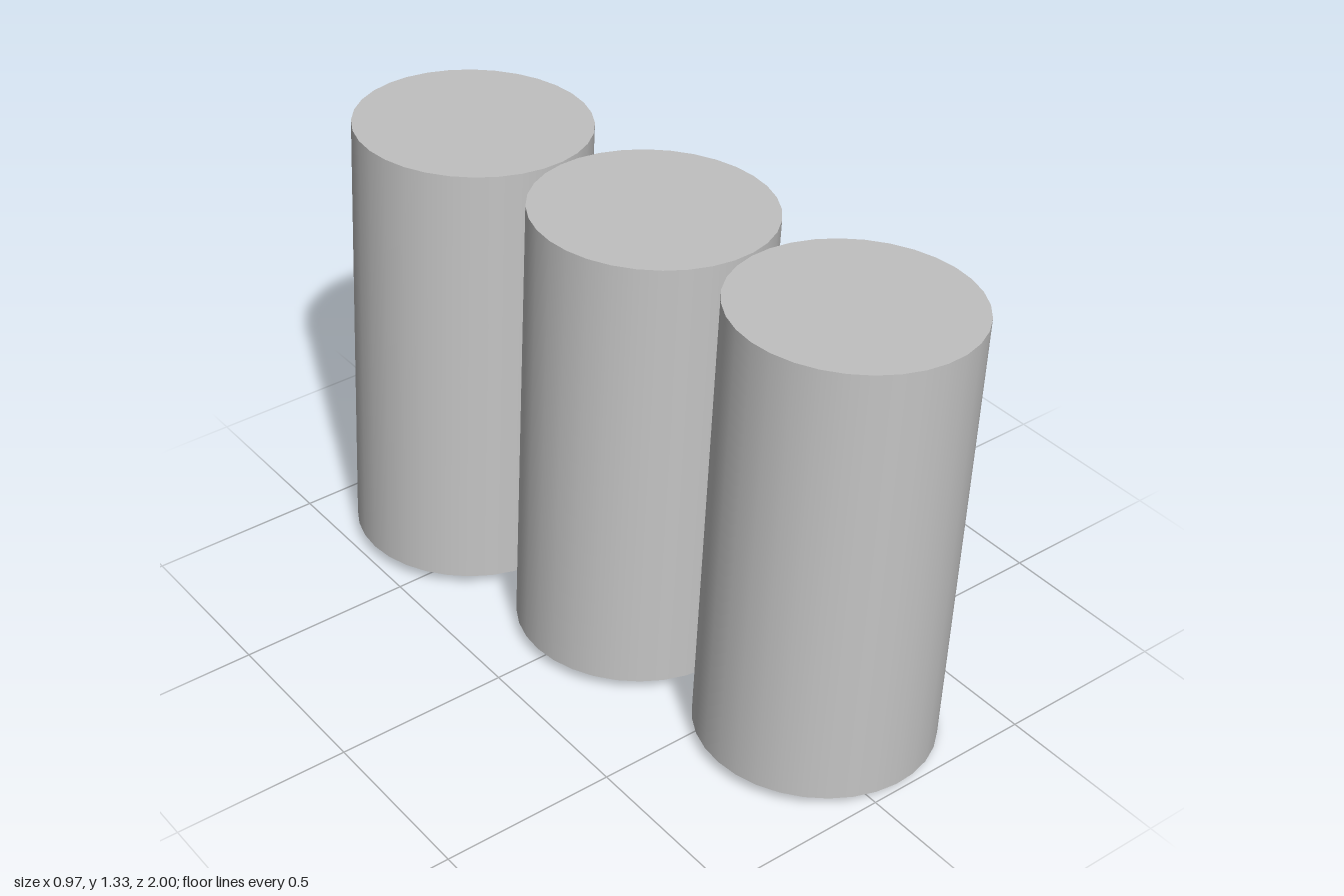
import * as THREE from 'three';

const RADIUS = 0.331;
const HEIGHT = 1.286;

export function createModel() {
  const model = new THREE.Group();
  model.name = 'leaningCylinders';

  const grey = new THREE.MeshStandardMaterial({ color: 0xc2c2c2 });
  grey.name = 'lightGrey';

  // One closed cylinder shared by the whole row
  const geometry = new THREE.CylinderGeometry(RADIUS, RADIUS, HEIGHT, 32);

  // Three touching cylinders, stepped sideways, all leaning towards +x
  ['backCylinder', 'middleCylinder', 'frontCylinder'].forEach((name, i) => {
    const step = i - 1;
    const cylinder = new THREE.Mesh(geometry, grey);
    cylinder.name = name;
    cylinder.position.set(step * 0.112, 0.6625, step * 0.662);
    cylinder.rotation.set(-0.009, 0, -0.0625);
    model.add(cylinder);
  });

  return model;
}
